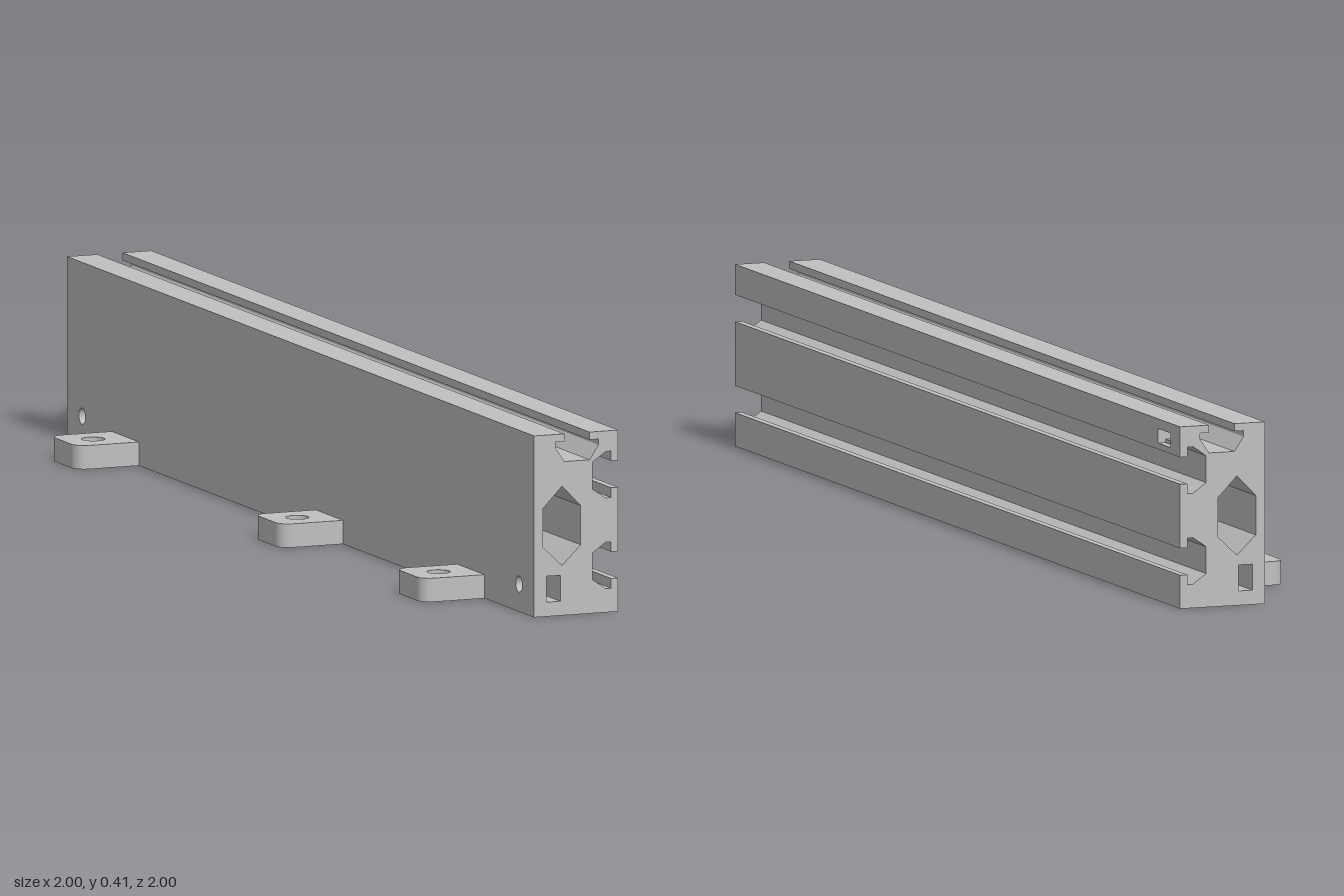
import * as THREE from 'three';

const W = 0.101, H = 0.406, L = 1.313; // half width, height, half length
const metal = new THREE.MeshStandardMaterial({ color: 0xc0c0c0, side: THREE.DoubleSide });
metal.name = 'plain grey metal';

const vec = (pts) => pts.map(([x, y]) => new THREE.Vector2(x, y));
const rect = (x0, x1, y0, y1) => vec([[x0, y0], [x1, y0], [x1, y1], [x0, y1]]);
const circle = (cx, cy, r, n = 24) => Array.from({ length: n }, (_, i) => {
  const a = (i / n) * Math.PI * 2;
  return new THREE.Vector2(cx + r * Math.cos(a), cy + r * Math.sin(a));
});

function mesh(name, geometry) {
  const m = new THREE.Mesh(geometry, metal);
  m.name = name;
  return m;
}

// Flat walls swept along z; a counter-clockwise outline faces outwards
function walls(pts, z0, z1, skip = -1) {
  const pos = [];
  pts.forEach((a, i) => {
    if (i === skip) return;
    const b = pts[(i + 1) % pts.length];
    pos.push(a.x, a.y, z0, b.x, b.y, z0, b.x, b.y, z1);
    pos.push(a.x, a.y, z0, b.x, b.y, z1, a.x, a.y, z1);
  });
  const g = new THREE.BufferGeometry();
  g.setAttribute('position', new THREE.Float32BufferAttribute(pos, 3));
  g.computeVertexNormals();
  return g;
}

// Flat panel facing +z with openings; those with a depth become blind pockets
function panel(name, outline, openings) {
  const group = new THREE.Group();
  group.name = name;
  const shape = new THREE.Shape(outline);
  for (const { pts, depth } of openings) {
    shape.holes.push(new THREE.Path(pts));
    if (!depth) continue;
    group.add(mesh('pocketLining', walls([...pts].reverse(), -depth, 0)));
    const floor = mesh('pocketFloor', new THREE.ShapeGeometry(new THREE.Shape(pts)));
    floor.position.z = -depth;
    group.add(floor);
  }
  group.add(mesh(name + 'Face', new THREE.ShapeGeometry(shape)));
  return group;
}

// Undercut slot as [offset along the face, depth]
const slot = [[-0.03, 0], [-0.03, 0.017], [-0.052, 0.017], [-0.052, 0.03], [-0.03, 0.062],
  [0.03, 0.062], [0.052, 0.03], [0.052, 0.017], [0.03, 0.017], [0.03, 0]];

// Fixing tab with rounded outer corners and a screw hole
function mountingTab(s) {
  const inner = -W, outer = -0.25, h = 0.077, r = 0.03;
  const shape = new THREE.Shape();
  shape.moveTo(inner, -h);
  shape.lineTo(inner, h);
  shape.lineTo(outer + r, h);
  shape.absarc(outer + r, h - r, r, Math.PI / 2, Math.PI, false);
  shape.absarc(outer + r, -h + r, r, Math.PI, Math.PI * 1.5, false);
  shape.closePath();
  shape.holes.push(new THREE.Path(circle(-0.178, 0, 0.026)));
  const g = new THREE.ExtrudeGeometry(shape, { depth: 0.053, bevelEnabled: false, curveSegments: 10 });
  g.rotateX(-Math.PI / 2);
  const tab = mesh('mountingTab', g);
  tab.position.z = s;
  return tab;
}

export function createModel() {
  const model = new THREE.Group();
  model.name = 'slottedRail';
  const rail = new THREE.Group();
  rail.name = 'rail';
  rail.rotation.y = Math.PI / 4; // the rail lies diagonally
  model.add(rail);

  // Cross-section: two slots in the side, one in the top
  const sideSlot = (cy) => slot.map(([t, d]) => [W - d, cy + t]);
  const profile = vec([[-W, 0], [W, 0], ...sideSlot(0.105), ...sideSlot(0.308), [W, H],
    ...slot.map(([t, d]) => [0.002 - t, H - d]), [-W, H]]);
  const lip = 21; // upper side strip, made separately with its window
  const body = walls(profile.slice(), -L, L, lip);
  // Drop the last wall, the plain side, which gets its own pierced panel
  body.setDrawRange(0, Infinity);
  const pos = body.attributes.position, keep = pos.array.slice(0, pos.array.length - 18);
  body.setAttribute('position', new THREE.BufferAttribute(keep, 3));
  body.deleteAttribute('normal');
  body.computeVertexNormals();
  rail.add(mesh('railBody', body));

  // Hexagonal bore through the whole length
  const c = -0.034, b = 0.045;
  const bore = vec([[c, 0.112], [c + b, 0.155], [c + b, 0.243], [c, 0.289], [c - b, 0.243], [c - b, 0.155]]);
  rail.add(mesh('bore', walls([...bore].reverse(), -L, L)));

  // End faces with a small pin pocket below the bore
  for (const side of [1, -1]) {
    const end = panel('endFace', profile, [
      { pts: bore },
      { pts: rect(-0.071, -0.038, 0.032, 0.09), depth: 0.12 },
    ]);
    end.position.z = side * L;
    end.scale.z = side;
    rail.add(end);
  }

  // Plain side with a round hole near each end
  const plain = panel('plainSide', rect(-L, L, 0, H), [-1, 1].map((k) => (
    { pts: circle(k * (L - 0.085), 0.062, 0.018), depth: 0.03 })));
  plain.rotation.y = -Math.PI / 2;
  plain.position.x = -W;
  rail.add(plain);

  // Upper strip of the slotted side with its window
  const strip = panel('upperStrip', rect(-L, L, 0.338, H), [
    { pts: rect(L - 0.13, L - 0.057, 0.352, 0.384), depth: 0.046 }]);
  strip.rotation.y = Math.PI / 2;
  strip.position.x = W;
  rail.add(strip);

  for (const s of [-0.985, 0.162, 0.957]) rail.add(mountingTab(s));
  return model;
}
